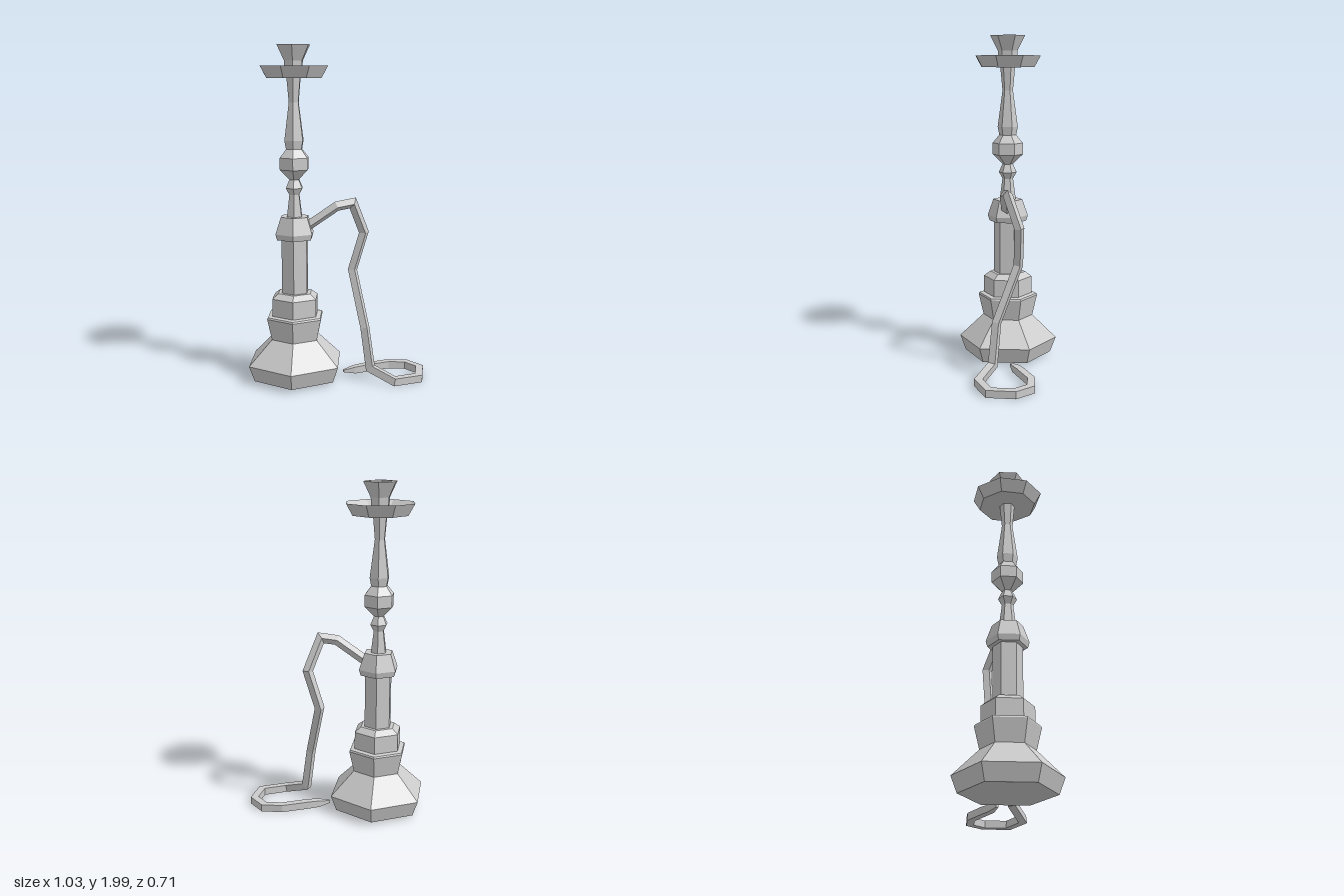
import * as THREE from 'three';

const material = new THREE.MeshStandardMaterial({ color: 0xcccccc, flatShading: true });

// Faceted turned part: profile is a list of [radius, y] from bottom to top
function turned(name, sides, profile) {
  const points = profile.map(([r, y]) => new THREE.Vector2(r, y));
  const mesh = new THREE.Mesh(new THREE.LatheGeometry(points, sides, Math.PI / 2), material);
  mesh.name = name;
  return mesh;
}

// Square tube with mitred corners; stations are [x, y, z, halfWidth]
function squareTube(name, stations) {
  const pts = stations.map(([x, y, z]) => new THREE.Vector3(x, y, z));
  const dirs = pts.slice(1).map((p, i) => p.clone().sub(pts[i]).normalize());
  const up = new THREE.Vector3(0, 1, 0);
  up.addScaledVector(dirs[0], -up.dot(dirs[0])).normalize();
  const last = pts.length - 1;
  const position = [];
  const index = [];
  pts.forEach((p, i) => {
    const tIn = dirs[Math.max(i - 1, 0)];
    const tOut = dirs[Math.min(i, last - 1)];
    const mitre = tIn.clone().add(tOut).normalize();
    const side = tIn.clone().cross(up);
    const h = stations[i][3];
    for (const [a, b] of [[1, 1], [-1, 1], [-1, -1], [1, -1]]) {
      const c = new THREE.Vector3().addScaledVector(up, a * h).addScaledVector(side, b * h);
      c.addScaledVector(tIn, -c.dot(mitre) / tIn.dot(mitre)).add(p);
      position.push(c.x, c.y, c.z);
    }
    up.applyQuaternion(new THREE.Quaternion().setFromUnitVectors(tIn, tOut));
    if (i === last) return;
    for (let k = 0; k < 4; k++) {
      const a = i * 4 + k, b = i * 4 + (k + 1) % 4;
      index.push(a, a + 4, b, b, a + 4, b + 4);
    }
  });
  // End caps
  const e = last * 4;
  index.push(0, 1, 2, 0, 2, 3, e, e + 2, e + 1, e, e + 3, e + 2);
  // Turn faces outward if the winding came out reversed
  const v = (i) => new THREE.Vector3().fromArray(position, i * 3);
  const n = v(index[1]).sub(v(index[0])).cross(v(index[2]).sub(v(index[0])));
  const out = v(0).add(v(1)).multiplyScalar(0.5).sub(pts[0]);
  if (n.dot(out) < 0) {
    for (let i = 0; i < index.length - 12; i += 3) [index[i], index[i + 1]] = [index[i + 1], index[i]];
  }
  const capN = v(1).sub(v(0)).cross(v(2).sub(v(0)));
  if (capN.dot(dirs[0]) > 0) {
    for (let i = index.length - 12; i < index.length; i += 3) [index[i], index[i + 1]] = [index[i + 1], index[i]];
  }
  const geometry = new THREE.BufferGeometry();
  geometry.setAttribute('position', new THREE.Float32BufferAttribute(position, 3));
  geometry.setIndex(index);
  geometry.computeVertexNormals();
  const mesh = new THREE.Mesh(geometry, material);
  mesh.name = name;
  return mesh;
}

export function createModel() {
  const model = new THREE.Group();
  model.name = 'waterPipe';

  const body = new THREE.Group();
  body.name = 'body';
  body.position.set(-0.213, 0, -0.09);
  model.add(body);

  // Hexagonal base with its stepped shoulder and neck
  body.add(turned('base', 6, [
    [0, 0.02], [0.27, 0.02], [0.305, 0.115], [0.155, 0.26], [0.185, 0.39],
    [0.18, 0.4], [0.15, 0.405], [0.15, 0.51], [0.11, 0.54], [0, 0.54],
  ]));
  body.add(turned('column', 6, [[0.086, 0.53], [0.086, 0.87]]));
  body.add(turned('collar', 6, [
    [0, 0.865], [0.115, 0.865], [0.125, 0.9], [0.09, 1.0], [0, 1.0],
  ]));

  // Slim stem with two bulbs
  body.add(turned('stem', 6, [
    [0.05, 1.0], [0.033, 1.13], [0.055, 1.17], [0.032, 1.22], [0.042, 1.23],
    [0.093, 1.28], [0.093, 1.35], [0.052, 1.4], [0.062, 1.45], [0.032, 1.67],
    [0.046, 1.82],
  ]));

  // Octagonal dish and the hollow bowl standing in it
  body.add(turned('dish', 8, [
    [0, 1.81], [0.17, 1.81], [0.21, 1.88], [0.155, 1.835], [0, 1.835],
  ]));
  body.add(turned('bowl', 6, [
    [0.055, 1.83], [0.06, 1.91], [0.106, 2.0], [0.072, 2.0], [0.045, 1.93], [0, 1.93],
  ]));

  // Hose: tapered mouthpiece, loop on the ground, then up to the collar
  model.add(squareTube('hose', [
    [0.06, 0.03, 0.02, 0.007], [0.13, 0.03, 0.025, 0.02], [0.2, 0.032, 0.028, 0.022],
    [0.365, 0.032, 0.038, 0.022], [0.465, 0.03, 0.092, 0.022], [0.492, 0.03, 0.205, 0.022],
    [0.408, 0.028, 0.328, 0.022], [0.245, 0.03, 0.318, 0.022], [0.155, 0.085, 0.185, 0.022],
    [0.135, 0.33, 0.15, 0.021], [0.128, 0.66, 0.005, 0.021], [0.192, 0.89, 0.03, 0.021],
    [0.098, 1.078, 0.06, 0.021], [0.005, 1.062, 0.035, 0.021], [-0.15, 0.94, -0.05, 0.021],
  ]));

  return model;
}
